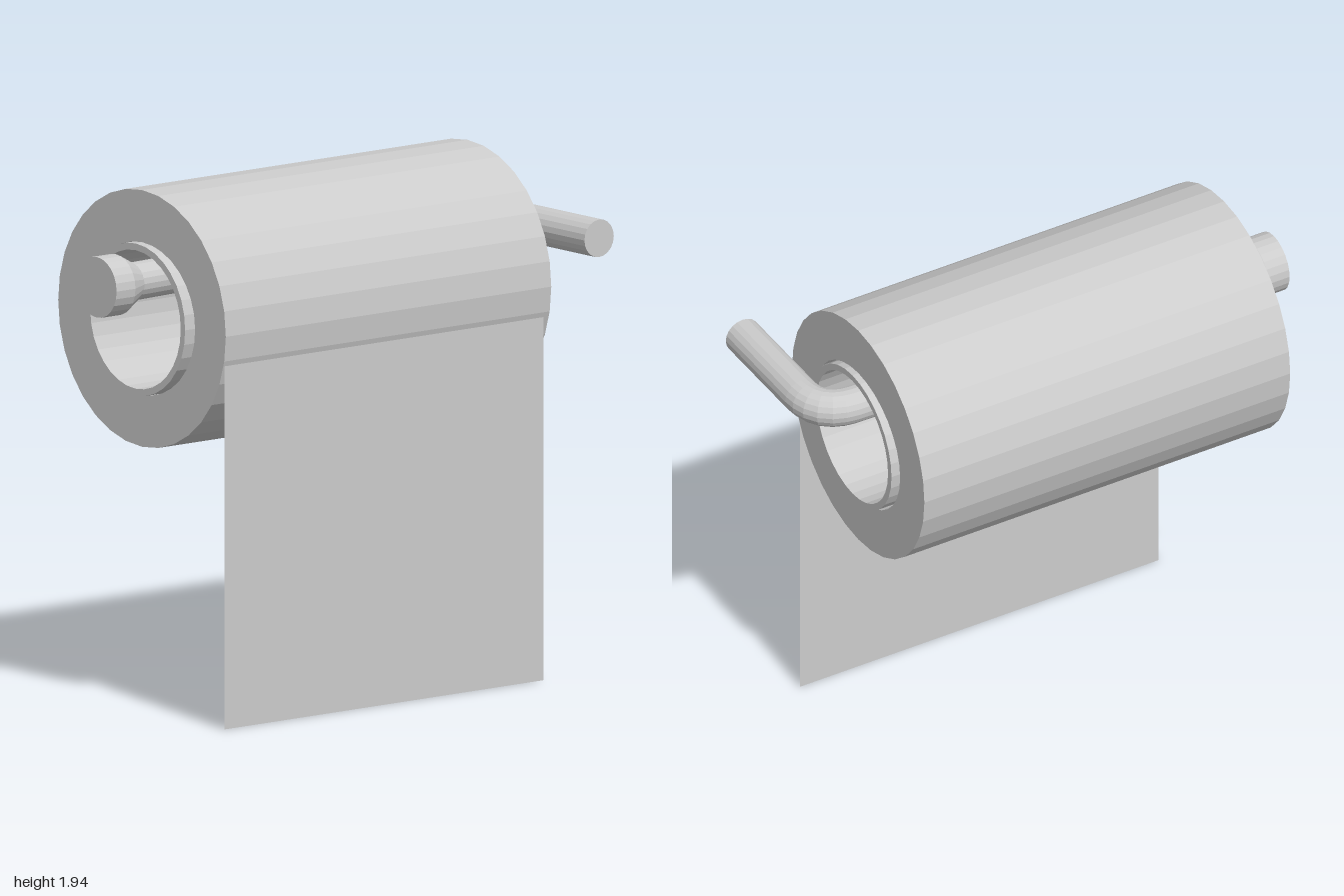
import * as THREE from 'three';

const AXIS_Y = 1.464, AXIS_Z = -0.033; // centre line of the roll

const material = new THREE.MeshStandardMaterial({ color: 0xcccccc, flatShading: true });
const sheetMaterial = new THREE.MeshStandardMaterial({ color: 0xcccccc, side: THREE.DoubleSide });

function part(name, geometry, mat = material) {
  const mesh = new THREE.Mesh(geometry, mat);
  mesh.name = name;
  return mesh;
}

// Hollow cylinder along x; the hole may be slightly oval
function hollowCylinder(x0, x1, radius, holeZ, holeY) {
  const shape = new THREE.Shape();
  shape.absarc(0, 0, radius, 0, Math.PI * 2, false);
  const hole = new THREE.Path();
  hole.absellipse(0, 0, holeZ, holeY, 0, Math.PI * 2, true);
  shape.holes.push(hole);
  const geometry = new THREE.ExtrudeGeometry(shape, { depth: x1 - x0, bevelEnabled: false, curveSegments: 16 });
  return geometry.rotateY(Math.PI / 2).translate(x0, AXIS_Y, AXIS_Z);
}

export function createModel() {
  const group = new THREE.Group();
  group.name = 'paperRollHolder';

  // Wound paper and its cardboard core
  group.add(part('paperRoll', hollowCylinder(-0.797, 0.755, 0.478, 0.303, 0.284)));
  group.add(part('cardboardCore', hollowCylinder(-0.828, 0.78, 0.283, 0.258, 0.258)));

  // Hanging sheet, tangent to the front of the roll
  const sheet = new THREE.PlaneGeometry(1.52, 1.36).translate(-0.03, 0.68, 0.43);
  group.add(part('hangingSheet', sheet, sheetMaterial));

  // Rod through the core, bent forward at its left end
  const start = new THREE.Vector3(-0.84, 1.603, -0.049);
  const bendStart = new THREE.Vector3(0.78, 1.633, -0.055);
  const corner = new THREE.Vector3(0.927, 1.633, -0.055);
  const bendEnd = new THREE.Vector3(0.927, 1.633, 0.09);
  const tip = new THREE.Vector3(0.927, 1.633, 0.512);
  const path = new THREE.CurvePath();
  path.add(new THREE.LineCurve3(start, bendStart));
  path.add(new THREE.QuadraticBezierCurve3(bendStart, corner, bendEnd));
  path.add(new THREE.LineCurve3(bendEnd, tip));
  group.add(part('rod', new THREE.TubeGeometry(path, 64, 0.07, 20)));

  const tipCap = new THREE.CircleGeometry(0.07, 20).translate(tip.x, tip.y, tip.z);
  group.add(part('rodTip', tipCap));

  // Flared knob at the other end of the rod
  const profile = [[0, 0.18], [0.113, 0.18], [0.113, 0.09], [0.066, 0.005], [0, 0.005]]
    .reverse().map(([r, y]) => new THREE.Vector2(r, y));
  const knob = new THREE.LatheGeometry(profile, 24).rotateZ(Math.PI / 2).translate(-0.82, 1.602, -0.048);
  group.add(part('endKnob', knob));

  return group;
}
